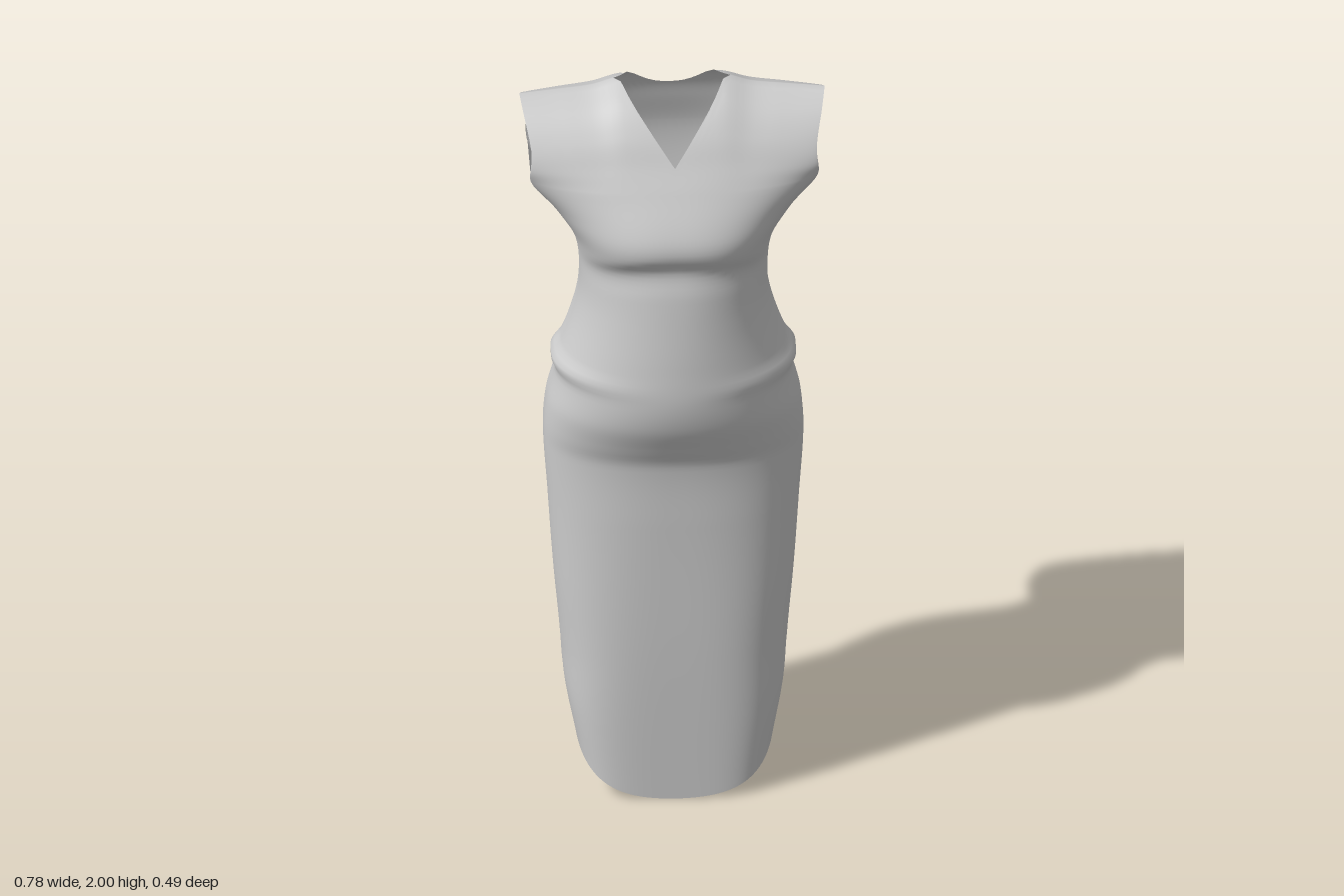
import * as THREE from 'three';
import { mergeVertices } from 'three/addons/utils/BufferGeometryUtils.js';

// Smooth curve through [key, value] pairs
function profile(...pts) {
  const slope = (i) => {
    const a = pts[Math.max(i - 1, 0)], b = pts[Math.min(i + 1, pts.length - 1)];
    return (b[1] - a[1]) / (b[0] - a[0]);
  };
  return (k) => {
    if (k <= pts[0][0]) return pts[0][1];
    const i = pts.findIndex((p) => p[0] >= k) - 1;
    if (i < 0) return pts[pts.length - 1][1];
    const [k0, v0] = pts[i], [k1, v1] = pts[i + 1], d = k1 - k0, t = (k - k0) / d;
    const t2 = t * t, t3 = t2 * t;
    return v0 * (2 * t3 - 3 * t2 + 1) + v1 * (3 * t2 - 2 * t3)
      + d * (slope(i) * (t3 - 2 * t2 + t) + slope(i + 1) * (t3 - t2));
  };
}

const UNDERARM = 1.77, TOP = 2.0, NECK = 0.135;

// Half width, and depth of the front and back centre lines, by height
const width = profile([0, 0.255], [0.2, 0.28], [0.4, 0.29], [0.6, 0.307], [0.8, 0.32], [1, 0.332],
  [1.1, 0.325], [1.2, 0.303], [1.235, 0.314], [1.27, 0.29], [1.4, 0.248], [1.5, 0.24],
  [1.6, 0.256], [1.68, 0.305], [1.77, 0.365], [1.88, 0.365], [2, 0.39]);
const frontZ = profile([0, 0.2], [0.4, 0.195], [0.8, 0.183], [0.98, 0.183], [1.04, 0.205], [1.12, 0.237],
  [1.2, 0.247], [1.3, 0.237], [1.4, 0.222], [1.5, 0.205], [1.57, 0.19], [1.62, 0.213], [1.67, 0.205],
  [1.77, 0.145], [1.83, 0.105], [1.9, 0.06], [1.96, 0], [2, -0.08]);
const backZ = profile([0, -0.2], [0.4, -0.205], [0.8, -0.195], [0.92, -0.197], [1, -0.225], [1.07, -0.242],
  [1.2, -0.218], [1.28, -0.19], [1.32, -0.17], [1.345, -0.188], [1.38, -0.178], [1.5, -0.197],
  [1.62, -0.225], [1.75, -0.236], [1.85, -0.217], [1.91, -0.2], [1.96, -0.165], [2, -0.08]);
// Depth of the side edges, which become the armhole rims
const edgeFront = profile([0, 0.03], [0.8, 0.02], [1.5, 0.02], [1.66, 0.01], [1.77, 0.055], [1.82, 0.072],
  [1.88, 0.055], [1.95, 0.005], [2, -0.06]);
const edgeBack = profile([0, -0.03], [0.8, -0.02], [1.5, -0.02], [1.66, -0.06], [1.77, -0.145],
  [1.84, -0.175], [1.9, -0.165], [1.96, -0.12], [2, -0.06]);
// Boxiness of the cross-section
const power = profile([0, 4.5], [0.5, 3.5], [0.95, 2.4], [1.2, 2], [1.5, 2.2], [1.65, 2.8], [1.8, 2.2], [2, 2]);
const root = profile([0, 2.3], [1, 2], [1.65, 1.8], [1.8, 1.3], [2, 1]);
// Shoulder seam height by distance from the centre
const shoulderY = profile([0, 2], [0.13, 2], [0.2, 1.98], [0.28, 1.973], [0.39, 1.967]);

// One point of the front (side = 1) or back (side = -1) panel; s runs -1..1 across
function panelPoint(side, s, h) {
  const a = Math.min(Math.abs(s), 1), w = width(h), x = s * w;
  const edge = side > 0 ? edgeFront(h) : edgeBack(h);
  // the crease below the bust sags towards the sides
  const sag = side > 0 && h > 1.4 && h < 1.77 ? 0.05 * a * a * Math.sin(Math.PI * (h - 1.4) / 0.37) : 0;
  const mid = side > 0 ? frontZ(h + sag) : backZ(h);
  const z = edge + (mid - edge) * Math.pow(Math.max(0, 1 - Math.pow(a, power(h))), 1 / root(h));
  return new THREE.Vector3(x, h, z);
}

// Hem dips at the front and rises to a notch at each side
function hemY(s, z, side) {
  const c = THREE.MathUtils.clamp;
  return side > 0 ? 0.06 * s * s + 0.105 * c((0.2 - z) / 0.17, 0, 1)
    : 0.08 + 0.075 * c((0.2 + z) / 0.2, 0, 1);
}

function dressGeometry() {
  const ACROSS = 64, STRIP = 6, LOWER = 130, UPPER = 28;
  // Columns around the body: front panel, left side, back panel, right side
  const columns = [];
  const panel = (side) => {
    for (let i = 0; i <= ACROSS; i++) {
      const s = side * Math.sin((i / ACROSS - 0.5) * Math.PI);
      columns.push({ side, s: Math.abs(s) < 1e-9 ? 0 : s });
    }
  };
  const strip = (sign) => {
    for (let i = 1; i < STRIP; i++) columns.push({ side: 0, s: sign, t: sign > 0 ? i / STRIP : 1 - i / STRIP });
  };
  panel(1); strip(1); panel(-1); strip(-1);

  const n = columns.length, position = [], index = [];
  for (let j = 0; j <= LOWER + UPPER; j++) {
    for (const { side, s, t } of columns) {
      let h = UNDERARM * Math.min(j / LOWER, 1);
      const x0 = Math.abs(s) * 0.385;
      if (j > LOWER) {
        // the neckline trims the panels: a V at the front, a scoop at the back
        const k = Math.min(x0 / NECK, 1);
        const top = side > 0 ? 1.83 + 0.17 * k : 1.905 + 0.095 * Math.pow(k, 2.5);
        h = UNDERARM + (top - UNDERARM) * (j - LOWER) / UPPER;
      }
      const p = side ? panelPoint(side, s, h)
        : panelPoint(1, s, h).lerp(panelPoint(-1, s, h), t);
      if (h < 0.4) {
        const hem = hemY(s, p.z, side || (p.z > 0 ? 1 : -1));
        p.y = hem + (h / 0.4) * (0.4 - hem);
      } else if (h > UNDERARM) {
        p.y = UNDERARM + (h - UNDERARM) * (shoulderY(x0) - UNDERARM) / (TOP - UNDERARM);
      }
      position.push(p.x, p.y, p.z);
    }
  }
  for (let j = 0; j < LOWER + UPPER; j++) {
    for (let i = 0; i < n; i++) {
      const i2 = (i + 1) % n;
      // above the underarm the sides stay open as armholes
      const open = columns[i].side === 0 || columns[i2].side === 0;
      if (j >= LOWER && open) continue;
      const a = j * n + i, b = j * n + i2;
      index.push(a, b, b + n, a, b + n, a + n);
    }
  }
  let geometry = new THREE.BufferGeometry();
  geometry.setAttribute('position', new THREE.Float32BufferAttribute(position, 3));
  geometry.setIndex(index);
  geometry = mergeVertices(geometry, 1e-4); // joins the shoulder seams
  geometry.computeVertexNormals();
  return geometry;
}

export function createModel() {
  const group = new THREE.Group();
  group.name = 'dress';
  const fabric = new THREE.MeshStandardMaterial({ color: 0xcccccc, side: THREE.DoubleSide });
  const dress = new THREE.Mesh(dressGeometry(), fabric);
  dress.name = 'dressFabric';
  group.add(dress);
  return group;
}
